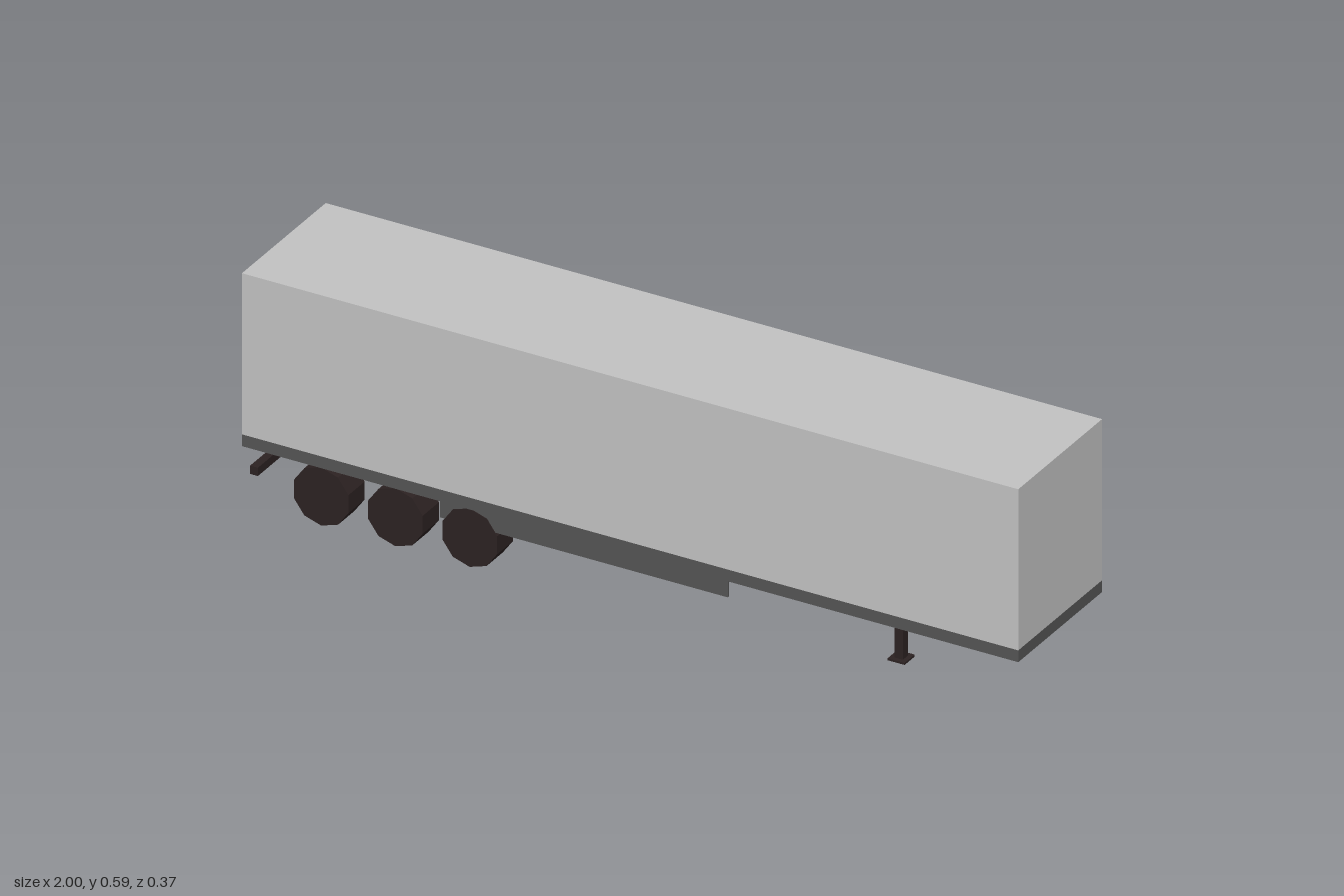
import * as THREE from 'three';

const mat = (name, color) => {
  const m = new THREE.MeshStandardMaterial({ color });
  m.name = name;
  return m;
};

export function createModel() {
  const group = new THREE.Group();
  const bodyGrey = mat('bodyGrey', 0xc2c2c2);
  const frameGrey = mat('frameGrey', 0x555555);
  const darkBrown = mat('darkBrown', 0x2c2222);

  // Box given by its lowest and highest corner
  const box = (name, material, [x0, y0, z0], [x1, y1, z1]) => {
    const mesh = new THREE.Mesh(new THREE.BoxGeometry(x1 - x0, y1 - y0, z1 - z0), material);
    mesh.position.set((x0 + x1) / 2, (y0 + y1) / 2, (z0 + z1) / 2);
    mesh.name = name;
    group.add(mesh);
  };

  // Cargo box, floor and chassis
  box('cargoBox', bodyGrey, [-0.997, 0.178, -0.187], [1, 0.588, 0.187]);
  box('floorRail', frameGrey, [-0.997, 0.148, -0.187], [1, 0.178, 0.187]);
  box('chassis', darkBrown, [-0.955, 0.12, -0.081], [0.81, 0.148, 0.081]);

  // Rear bumper bar and the brace between the landing legs
  box('rearBar', darkBrown, [-0.987, 0.071, -0.168], [-0.967, 0.092, 0.168]);
  box('legBrace', darkBrown, [0.625, 0.063, -0.06], [0.638, 0.071, 0.06]);

  // Ten-sided wheels, resting on a corner
  const wheelGeometry = new THREE.CylinderGeometry(0.074, 0.074, 0.072, 10).toNonIndexed();
  wheelGeometry.rotateX(Math.PI / 2);
  wheelGeometry.computeVertexNormals();

  for (const side of [1, -1]) {
    // Box mirrored to either side, from inner to outer z
    const sideBox = (name, material, x0, x1, y0, y1, zIn, zOut) =>
      box(name, material,
        [x0, y0, Math.min(side * zIn, side * zOut)],
        [x1, y1, Math.max(side * zIn, side * zOut)]);

    sideBox('sideSkirt', frameGrey, -0.49, 0.25, 0.104, 0.148, 0.177, 0.182);
    sideBox('landingLeg', darkBrown, 0.621, 0.642, 0.004, 0.12, 0.059, 0.081);
    sideBox('landingFoot', darkBrown, 0.609, 0.653, 0, 0.005, 0.047, 0.092);
    sideBox('doorRod', darkBrown, -1, -0.997, 0.195, 0.57, 0.013, 0.021);

    for (const x of [-0.795, -0.604, -0.413]) {
      const wheel = new THREE.Mesh(wheelGeometry, darkBrown);
      wheel.position.set(x, 0.074, side * 0.148);
      wheel.name = 'wheel';
      group.add(wheel);
    }
  }
  return group;
}
